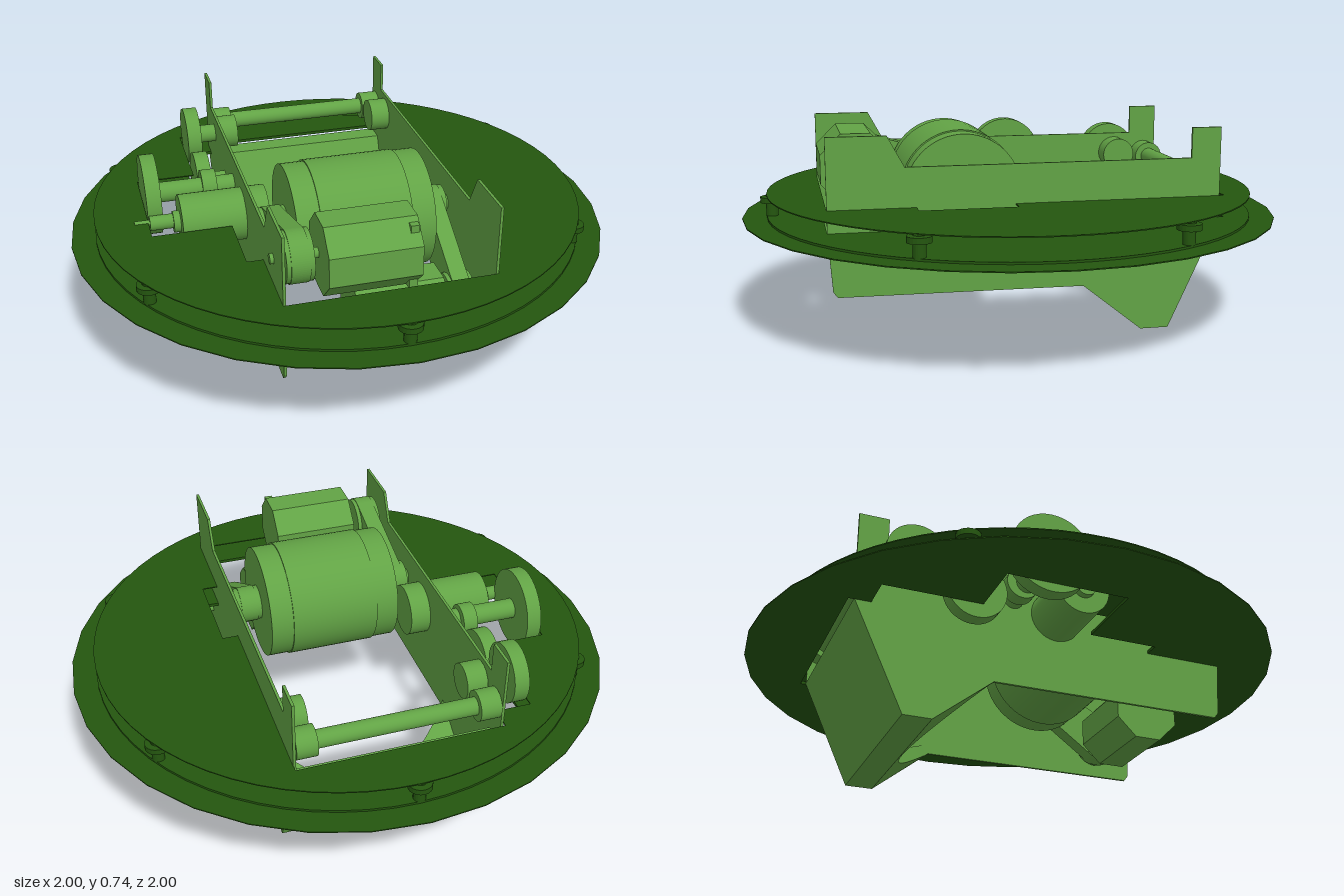
import * as THREE from 'three';

const light = new THREE.MeshStandardMaterial({ color: 0x62a345, side: THREE.DoubleSide });
const lightFlat = new THREE.MeshStandardMaterial({ color: 0x62a345, side: THREE.DoubleSide, flatShading: true });
const dark = new THREE.MeshStandardMaterial({ color: 0x24560f, side: THREE.DoubleSide });

export function createModel() {
  const root = new THREE.Group();

  const add = (name, geo, mat = light, parent = root) => {
    const m = new THREE.Mesh(geo, mat);
    m.name = name;
    parent.add(m);
    return m;
  };

  // Cylinder lying along x
  const rod = (name, x0, x1, y, z, r, sides = 40, mat = light) => {
    const g = new THREE.CylinderGeometry(r, r, x1 - x0, sides);
    g.rotateZ(Math.PI / 2);
    if (sides === 8) g.rotateX(Math.PI / 8);
    g.translate((x0 + x1) / 2, y, z);
    return add(name, g, mat);
  };

  // Profile in (z, y), extruded from x0 to x1
  const sideExtrude = (name, shape, x0, x1) => {
    const g = new THREE.ExtrudeGeometry(shape, { depth: x1 - x0, bevelEnabled: false, curveSegments: 20 });
    g.rotateY(-Math.PI / 2);
    g.translate(x1, 0, 0);
    return add(name, g);
  };

  // Belt around two pulleys given as [z, y, radius]
  const belt = (name, x0, x1, [z1, y1, r1], [z2, y2, r2]) => {
    const phi = Math.atan2(y2 - y1, z2 - z1);
    const a = Math.acos((r1 - r2) / Math.hypot(z2 - z1, y2 - y1));
    const s = new THREE.Shape();
    s.absarc(z1, y1, r1, phi + a, phi - a + Math.PI * 2, false);
    s.absarc(z2, y2, r2, phi - a, phi + a, false);
    return sideExtrude(name, s, x0, x1);
  };

  // Round plates with the stepped cut-out, points given as (x, z)
  const cutout = [
    [-0.37, -0.73], [0.37, -0.73], [0.37, 0.05], [0.43, 0.05], [0.43, 0.4], [0.37, 0.4],
    [0.37, 0.71], [-0.37, 0.71], [-0.37, 0.41], [-0.43, 0.41], [-0.43, 0.15], [-0.72, 0.15],
    [-0.72, -0.29], [-0.5, -0.29], [-0.5, -0.65], [-0.37, -0.65],
  ];
  const plate = (name, r, sides, y, h) => {
    const s = new THREE.Shape();
    for (let i = 0; i < sides; i++) {
      const t = (i / sides) * Math.PI * 2;
      s[i ? 'lineTo' : 'moveTo'](r * Math.cos(t), r * Math.sin(t));
    }
    s.holes.push(new THREE.Path(cutout.map(([x, z]) => new THREE.Vector2(x, -z))));
    const g = new THREE.ExtrudeGeometry(s, { depth: h, bevelEnabled: false });
    g.rotateX(-Math.PI / 2);
    g.translate(0, y, 0);
    add(name, g, dark);
  };
  plate('bumperPlate', 1, 32, 0.396, 0.004);
  plate('basePlate', 0.91, 64, 0.4, 0.008);
  plate('topPlate', 0.91, 64, 0.484, 0.004);

  // Six flanged standoffs between the plates
  for (let i = 0; i < 6; i++) {
    const t = Math.PI / 6 + (i * Math.PI) / 3;
    const g = new THREE.LatheGeometry(
      [[0, 0], [0.022, 0], [0.022, 0.05], [0.042, 0.052], [0.042, 0.073], [0.022, 0.075], [0.022, 0.08], [0, 0.08]]
        .map(([r, y]) => new THREE.Vector2(r, y)), 20);
    const m = add('standoff', g, new THREE.MeshStandardMaterial({ color: 0x24560f, flatShading: true, side: THREE.DoubleSide }));
    m.position.set(0.89 * Math.cos(t), 0.405, 0.89 * Math.sin(t));
  }

  // Side panels
  const panel = new THREE.Shape([
    [0.71, 0.74], [0.5, 0.74], [0.44, 0.63], [-0.6, 0.63], [-0.6, 0.74], [-0.71, 0.74], [-0.71, 0.4],
    [-0.525, 0], [-0.42, 0], [-0.2, 0.175], [0.68, 0.18], [0.695, 0.2], [0.71, 0.4],
  ].map(p => new THREE.Vector2(...p)));
  sideExtrude('leftPanel', panel, 0.362, 0.372);
  sideExtrude('rightPanel', panel, -0.372, -0.362);

  // Scoop: closed sections across x, front lip cut away in an arch
  const pos = [], idx = [], steps = 28, n = 8;
  for (let i = 0; i <= steps; i++) {
    const x = -0.365 + (0.73 * i) / steps, q = (x / 0.365) ** 2;
    const lo = -0.41 + 0.2 * q, hi = -0.44 + 0.22 * q;
    [[-0.71, 0.4], [-0.525, 0], [-0.42, 0], [lo, (lo + 0.42) * 0.8], [hi, 0.21 + (hi + 0.22) * 0.6],
      [-0.475, 0.055], [-0.6, 0.33], [-0.63, 0.4]].forEach(([z, y]) => pos.push(x, y, z));
  }
  for (let i = 0; i < steps; i++) for (let j = 0; j < n; j++) {
    const a = i * n + j, b = i * n + (j + 1) % n;
    idx.push(a, b, a + n, b, b + n, a + n);
  }
  const scoop = new THREE.BufferGeometry();
  scoop.setAttribute('position', new THREE.Float32BufferAttribute(pos, 3));
  scoop.setIndex(idx);
  const scoopFlat = scoop.toNonIndexed();
  scoopFlat.computeVertexNormals();
  add('scoop', scoopFlat, lightFlat);

  // Main drum on its axle
  rod('drum', -0.25, 0.25, 0.51, 0.215, 0.213, 64);
  rod('drumBand', -0.165, 0.165, 0.51, 0.215, 0.218, 64);
  rod('drumAxle', -0.365, 0.365, 0.51, 0.215, 0.03);

  // Two drive motors with pulleys and belts to the drum
  rod('upperMotor', -0.22, 0.1, 0.585, 0.585, 0.141, 8, lightFlat);
  add('upperMotorMount', new THREE.BoxGeometry(0.03, 0.24, 0.12).translate(0.08, 0.58, 0.62));
  rod('upperMotorShaft', -0.385, -0.22, 0.585, 0.57, 0.018);
  rod('upperPulley', -0.345, -0.25, 0.585, 0.57, 0.09);
  rod('rightDrumPulley', -0.345, -0.25, 0.51, 0.215, 0.065);
  belt('rightBelt', -0.33, -0.265, [0.215, 0.51, 0.068], [0.57, 0.585, 0.093]);

  rod('lowerMotor', -0.1, 0.22, 0.305, 0.545, 0.135, 8, lightFlat);
  rod('lowerMotorShaft', 0.22, 0.388, 0.305, 0.53, 0.016);
  rod('lowerPulley', 0.25, 0.342, 0.305, 0.53, 0.085);
  rod('leftDrumPulley', 0.25, 0.345, 0.51, 0.215, 0.065);
  belt('leftBelt', 0.265, 0.328, [0.215, 0.51, 0.068], [0.53, 0.305, 0.088]);

  // Rear rollers and shafts
  for (const s of [-1, 1]) {
    const x0 = s < 0 ? -0.36 : 0.285;
    rod('rearRoller', x0, x0 + 0.075, 0.54, -0.66, 0.055);
    rod('innerRoller', x0, x0 + 0.075, 0.55, -0.53, 0.064);
  }
  rod('rearShaft', -0.365, 0.365, 0.54, -0.66, 0.032);
  rod('gearAxle', -0.44, -0.36, 0.55, -0.53, 0.035);

  // Gear train on the right side
  rod('rollerGear', -0.495, -0.44, 0.55, -0.53, 0.11);
  rod('idlerGear', -0.495, -0.44, 0.455, -0.31, 0.11);
  rod('idlerAxle', -0.44, -0.37, 0.455, -0.31, 0.025);
  rod('smallGear', -0.495, -0.44, 0.515, -0.14, 0.06);
  rod('transferAxle', -0.665, -0.37, 0.515, -0.128, 0.038);
  rod('largeGear', -0.718, -0.663, 0.515, -0.125, 0.15);

  // Gear motor
  rod('gearMotor', -0.605, -0.285, 0.475, 0.04, 0.098);
  rod('gearMotorCollar', -0.63, -0.605, 0.475, 0.04, 0.04);
  rod('gearMotorPinion', -0.715, -0.63, 0.48, 0.04, 0.027);
  rod('gearMotorShaft', -0.77, -0.715, 0.48, 0.04, 0.014);

  return root;
}
